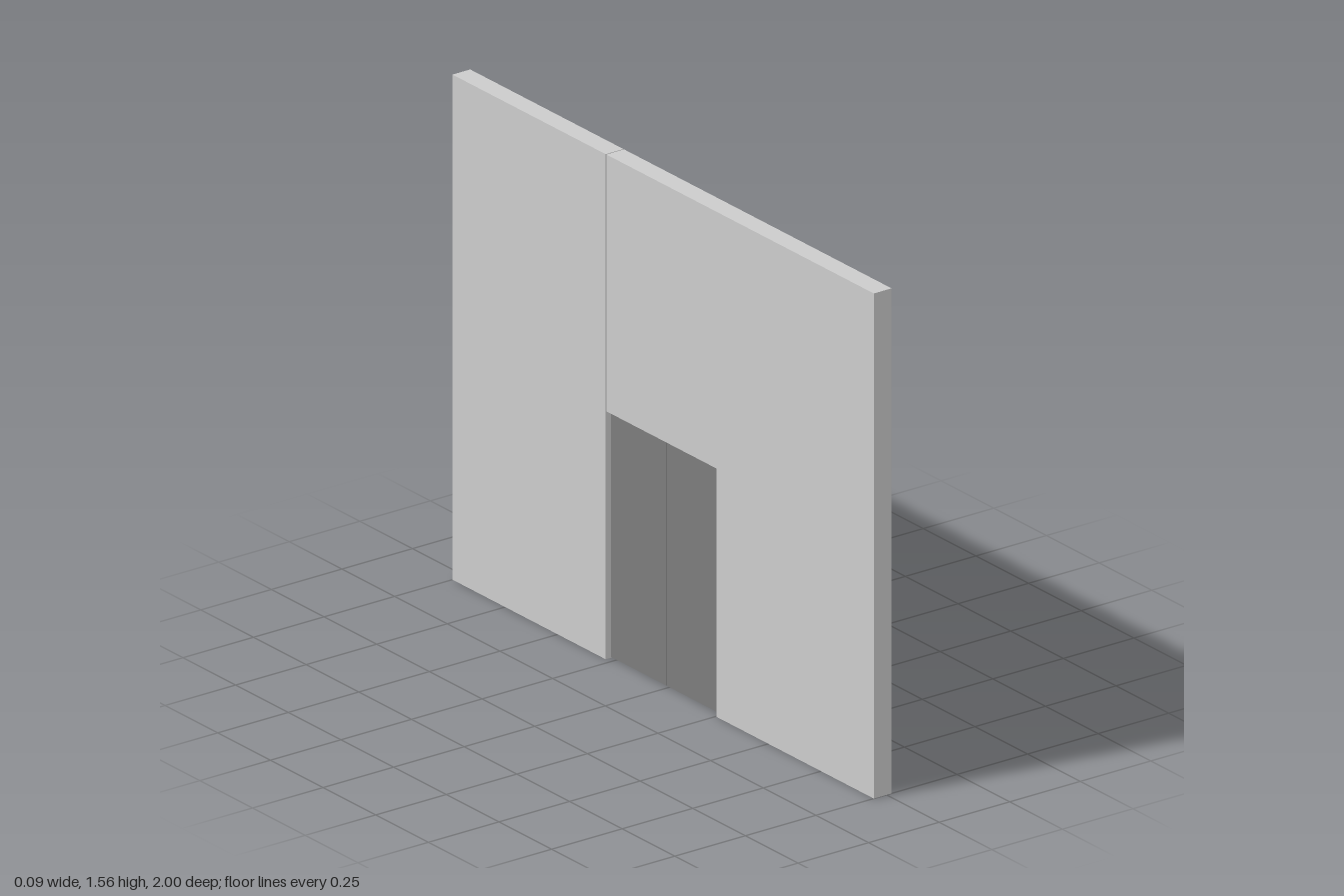
import * as THREE from 'three';

const WALL_BACK = -0.045, WALL_FRONT = 0.018, HEIGHT = 1.556;
const DOOR_Z = -0.0075;   // centre line of the doorway
const OPEN_HALF = 0.262, OPEN_TOP = 0.765;

const wallMat = new THREE.MeshStandardMaterial({ color: 0xcccccc });
const metalMat = new THREE.MeshStandardMaterial({ color: 0x7c7c7c });
const darkMat = new THREE.MeshStandardMaterial({ color: 0x3a3a3a });
const blackMat = new THREE.MeshStandardMaterial({ color: 0x1c1c1c });

const toShape = (pts) => new THREE.Shape(pts.map(([a, b]) => new THREE.Vector2(a, b)));
const extrude = (shape, depth) =>
  new THREE.ExtrudeGeometry(shape, { depth, bevelEnabled: false, curveSegments: 24 });

export function createModel() {
  const model = new THREE.Group();
  model.name = 'elevatorDoorway';

  const add = (name, geometry, material, parent = model) => {
    const mesh = new THREE.Mesh(geometry, material);
    mesh.name = name;
    parent.add(mesh);
    return mesh;
  };
  // Box given by its extents
  const box = (name, x0, x1, y0, y1, z0, z1, material, parent) => add(name,
    new THREE.BoxGeometry(x1 - x0, y1 - y0, z1 - z0)
      .translate((x0 + x1) / 2, (y0 + y1) / 2, (z0 + z1) / 2), material, parent);

  // Wall: a notched panel over the doorway and a plain panel beside it
  const zLeft = DOOR_Z + OPEN_HALF, zSeam = DOOR_Z - OPEN_HALF;
  const wall = toShape([[1, 0], [1, HEIGHT], [zSeam, HEIGHT], [zSeam, OPEN_TOP], [zLeft, OPEN_TOP], [zLeft, 0]]);
  add('mainWall', extrude(wall, WALL_FRONT - WALL_BACK)
    .rotateY(-Math.PI / 2).translate(WALL_FRONT, 0, 0), wallMat);
  box('sideWall', WALL_BACK, WALL_FRONT, 0, HEIGHT, -1, zSeam - 0.003, wallMat);

  // Door frame: L-shaped posts with a lintel between them
  const frame = new THREE.Group();
  frame.name = 'doorFrame';
  model.add(frame);
  const doorFront = -0.02;
  for (const s of [-1, 1]) {
    const plan = [[doorFront, 0.2375], [0.042, 0.2375], [0.042, 0.2875],
      [WALL_FRONT, 0.2875], [WALL_FRONT, OPEN_HALF], [doorFront, OPEN_HALF]];
    add(s > 0 ? 'leftPost' : 'rightPost',
      extrude(toShape(plan.map(([x, z]) => [x, -s * z])), 0.802)
        .rotateX(-Math.PI / 2).translate(0, 0, DOOR_Z), metalMat, frame);
  }
  const lintel = toShape([[doorFront, 0.755], [0.041, 0.755], [0.041, 0.799],
    [WALL_FRONT, 0.799], [WALL_FRONT, OPEN_TOP], [doorFront, OPEN_TOP]]);
  add('lintel', extrude(lintel, 0.475).translate(0, 0, DOOR_Z - 0.2375), metalMat, frame);

  // Pair of sliding doors meeting at a narrow gap
  for (const s of [-1, 1]) {
    const a = DOOR_Z + s * 0.0015, b = DOOR_Z + s * OPEN_HALF;
    box(s > 0 ? 'leftDoor' : 'rightDoor', -0.028, doorFront, 0.004, OPEN_TOP,
      Math.min(a, b), Math.max(a, b), metalMat);
  }

  // Floor display above the doorway
  box('floorDisplay', WALL_FRONT, 0.026, 0.857, 0.916, -0.06, 0.048, blackMat);

  // Call panel with two round buttons
  const panel = new THREE.Group();
  panel.name = 'callPanel';
  model.add(panel);
  box('callPlate', WALL_FRONT, 0.021, 0.344, 0.442, -0.39, -0.335, metalMat, panel);
  for (const y of [0.414, 0.372]) {
    add('buttonRing', new THREE.TorusGeometry(0.016, 0.0015, 6, 28)
      .rotateY(Math.PI / 2).translate(0.021, y, -0.3625), darkMat, panel);
    add('callButton', new THREE.CylinderGeometry(0.012, 0.012, 0.002, 28)
      .rotateZ(Math.PI / 2).translate(0.0215, y, -0.3625), darkMat, panel);
  }
  return model;
}
